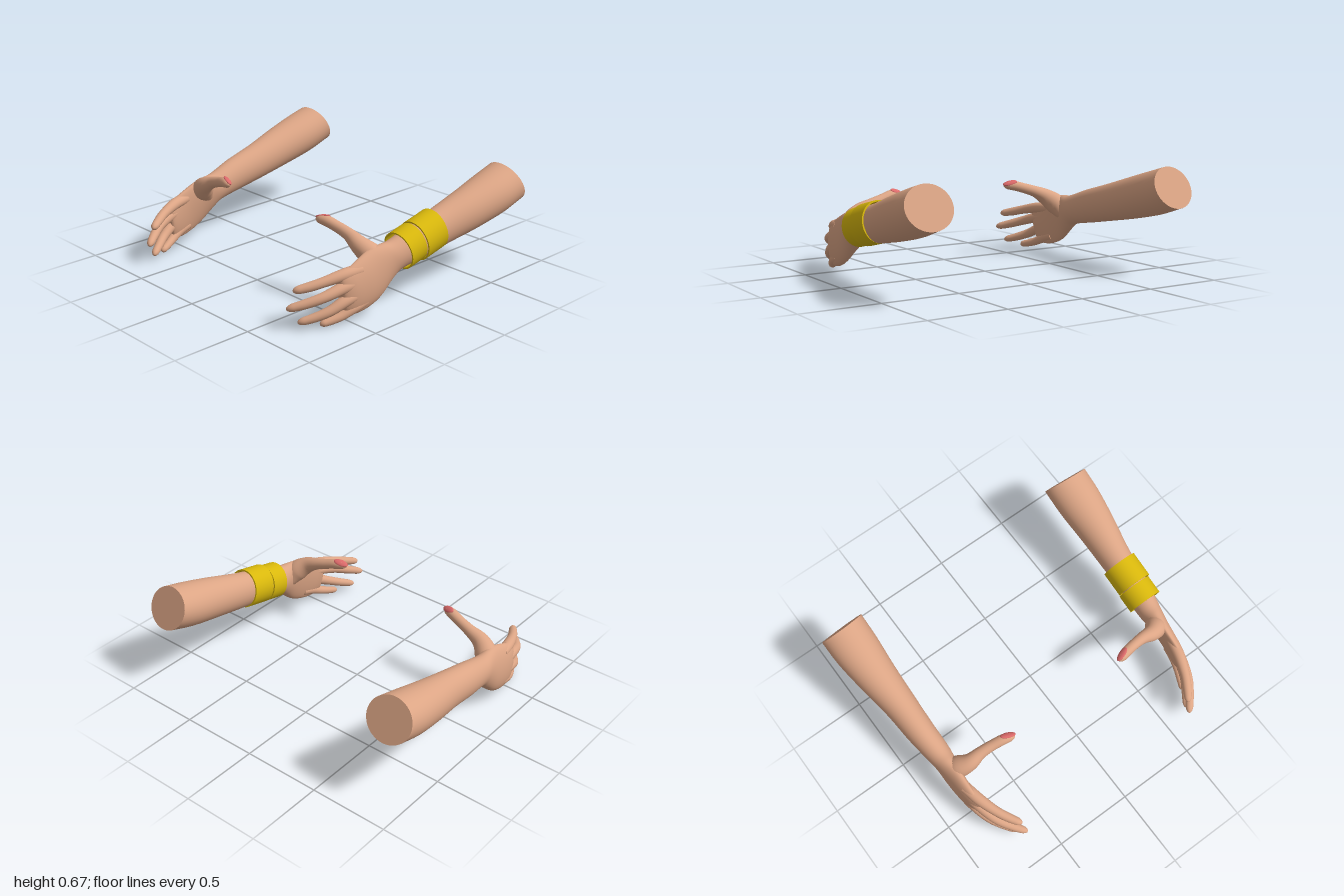
import * as THREE from 'three';
import { toCreasedNormals } from 'three/addons/utils/BufferGeometryUtils.js';

const skin = new THREE.MeshStandardMaterial({ color: 0xdca585 });
const gold = new THREE.MeshStandardMaterial({ color: 0xd9b80c });
const polish = new THREE.MeshStandardMaterial({ color: 0xdc6a6a });
const V = (x, y, z) => new THREE.Vector3(x, y, z);

// Skin a list of rings; side -1 mirrors the result across x = 0
function loft(rings, side) {
  const n = rings[0].length, pos = [], idx = [];
  const tri = (a, b, c) => (side > 0 ? idx.push(a, b, c) : idx.push(a, c, b));
  const put = (p) => pos.push(p.x * side, p.y, p.z);
  rings.forEach((ring) => ring.forEach(put));
  for (let i = 0; i < rings.length - 1; i++) {
    for (let j = 0; j < n; j++) {
      const a = i * n + j, b = i * n + (j + 1) % n;
      tri(a, b, b + n);
      tri(a, b + n, a + n);
    }
  }
  // flat caps with their own vertices
  for (const [ring, start] of [[rings[0], true], [rings[rings.length - 1], false]]) {
    const base = pos.length / 3, mid = V(0, 0, 0);
    ring.forEach((p) => { put(p); mid.addScaledVector(p, 1 / n); });
    put(mid);
    for (let j = 0; j < n; j++) {
      const a = base + j, b = base + (j + 1) % n;
      if (start) tri(base + n, b, a); else tri(base + n, a, b);
    }
  }
  const g = new THREE.BufferGeometry();
  g.setAttribute('position', new THREE.Float32BufferAttribute(pos, 3));
  g.setIndex(idx);
  g.computeVertexNormals();
  return g;
}

const spline = (pts) => new THREE.CatmullRomCurve3(pts, false, 'catmullrom', 0.5);

// Forearm and palm: [top xyz, bottom xyz, half width, palm flattening]
const ARM = [
  [0.87, 0.675, -0.72, 0.84, 0.43, -0.835, 0.147, 1],
  [0.86, 0.635, -0.57, 0.845, 0.372, -0.66, 0.143, 1],
  [0.845, 0.58, -0.38, 0.845, 0.325, -0.45, 0.123, 1],
  [0.83, 0.52, -0.18, 0.83, 0.285, -0.23, 0.101, 1],
  [0.82, 0.465, 0.02, 0.825, 0.25, -0.03, 0.088, 1],
  [0.805, 0.412, 0.18, 0.815, 0.222, 0.13, 0.075, 1],
  [0.795, 0.405, 0.26, 0.815, 0.175, 0.20, 0.066, 0.9],
  [0.785, 0.395, 0.34, 0.82, 0.10, 0.29, 0.06, 0.65],
  [0.785, 0.36, 0.43, 0.815, 0.06, 0.38, 0.055, 0.55],
  [0.785, 0.325, 0.51, 0.805, 0.045, 0.47, 0.046, 0.7],
  [0.775, 0.31, 0.56, 0.795, 0.06, 0.53, 0.032, 0.9],
  [0.765, 0.27, 0.577, 0.785, 0.10, 0.55, 0.012, 1],
];

function armGeometry(side) {
  const top = spline(ARM.map((s) => V(s[0], s[1], s[2])));
  const bottom = spline(ARM.map((s) => V(s[3], s[4], s[5])));
  const width = spline(ARM.map((s) => V(s[6], s[7], 0)));
  const rings = [], steps = 66, n = 40;
  for (let i = 0; i <= steps; i++) {
    const t = i / steps, a = top.getPoint(t), b = bottom.getPoint(t), w = width.getPoint(t);
    const mid = a.clone().add(b).multiplyScalar(0.5), up = a.sub(b).multiplyScalar(0.5);
    // across the hand, square to its up direction
    const across = V(up.y, -up.x, 0).normalize();
    const ring = [];
    for (let j = 0; j < n; j++) {
      const q = (j / n) * Math.PI * 2, c = Math.cos(q);
      ring.push(mid.clone().addScaledVector(up, Math.sin(q))
        .addScaledVector(across, c * w.x * (c < 0 ? w.y : 1)));
    }
    rings.push(ring);
  }
  return loft(rings, side);
}

// Digits: points along the bone as [x, y, z, radius], last point is the tip
const DIGITS = {
  thumb: [[0.80, 0.27, 0.24, 0.045], [0.765, 0.34, 0.30, 0.068], [0.70, 0.393, 0.333, 0.054],
    [0.62, 0.432, 0.335, 0.038], [0.54, 0.458, 0.345, 0.033], [0.46, 0.48, 0.362, 0.032],
    [0.395, 0.483, 0.382, 0.024]],
  indexFinger: [[0.80, 0.30, 0.42, 0.036], [0.775, 0.29, 0.53, 0.036], [0.735, 0.268, 0.64, 0.03],
    [0.695, 0.248, 0.715, 0.028], [0.645, 0.23, 0.793, 0.022]],
  middleFinger: [[0.81, 0.24, 0.42, 0.036], [0.79, 0.222, 0.54, 0.036], [0.755, 0.188, 0.66, 0.031],
    [0.70, 0.157, 0.75, 0.028], [0.635, 0.13, 0.835, 0.022]],
  ringFinger: [[0.815, 0.17, 0.42, 0.035], [0.80, 0.145, 0.53, 0.035], [0.77, 0.1, 0.625, 0.03],
    [0.725, 0.068, 0.70, 0.027], [0.668, 0.042, 0.78, 0.021]],
  littleFinger: [[0.815, 0.11, 0.40, 0.034], [0.805, 0.085, 0.48, 0.033], [0.785, 0.053, 0.55, 0.028],
    [0.762, 0.034, 0.605, 0.025], [0.733, 0.018, 0.67, 0.02]],
};

function digitGeometry(points, side) {
  const path = spline(points.map((p) => V(p[0], p[1], p[2])));
  const radius = spline(points.map((p) => V(p[3], 0, 0)));
  const rings = [], steps = 40, n = 20, round = 0.9;
  for (let i = 0; i <= steps; i++) {
    // steps crowd toward the rounded tip
    const t = Math.sin((i / steps) * Math.PI / 2);
    const k = Math.max(0, (t - round) / (1 - round));
    const r = radius.getPoint(t).x * Math.sqrt(Math.max(0.0004, 1 - k * k));
    const c = path.getPoint(t), dir = path.getTangent(t);
    const right = V(0, 1, 0).cross(dir).normalize(), up = dir.clone().cross(right);
    const ring = [];
    for (let j = 0; j < n; j++) {
      const q = (j / n) * Math.PI * 2;
      ring.push(c.clone().addScaledVector(right, Math.cos(q) * r).addScaledVector(up, Math.sin(q) * r));
    }
    rings.push(ring);
  }
  return loft(rings, side);
}

// Thumb nail: a thin painted oval on the upper back of the tip
function nailGeometry(side) {
  const along = V(0.05 * side, 0.012, -0.018).normalize();
  const out = V(0, 0.85, -0.5);
  out.addScaledVector(along, -out.dot(along)).normalize();
  const basis = new THREE.Matrix4().makeBasis(along, out, along.clone().cross(out));
  return new THREE.SphereGeometry(1, 24, 16).scale(0.049, 0.011, 0.023)
    .applyMatrix4(basis).translate(0.432 * side, 0.499, 0.361);
}

// Bracelet: a thick oval band
function braceletGeometry(length, rx, ry) {
  const h = length / 2, wall = 0.92;
  const profile = [[1, -h], [1, h], [wall, h], [wall, -h], [1, -h]].map((p) => new THREE.Vector2(...p));
  return toCreasedNormals(new THREE.LatheGeometry(profile, 48).scale(rx, 1, ry), 0.6);
}

export function createModel() {
  const model = new THREE.Group();
  const add = (parent, name, geometry, material) => {
    const mesh = new THREE.Mesh(geometry, material);
    mesh.name = name;
    parent.add(mesh);
    return mesh;
  };

  for (const [name, side] of [['leftArm', 1], ['rightArm', -1]]) {
    const arm = new THREE.Group();
    arm.name = name;
    add(arm, 'forearmAndPalm', armGeometry(side), skin);
    for (const digit in DIGITS) add(arm, digit, digitGeometry(DIGITS[digit], side), skin);
    add(arm, 'thumbNail', nailGeometry(side), polish);
    model.add(arm);
  }

  // two bands on the left wrist
  const bands = [
    ['frontBracelet', 0.122, 0.111, 0.119, [0.815, 0.346, 0.069]],
    ['rearBracelet', 0.166, 0.114, 0.127, [0.823, 0.381, -0.076]],
  ];
  for (const [name, length, rx, ry, at] of bands) {
    const band = add(model, name, braceletGeometry(length, rx, ry), gold);
    band.position.set(...at);
    band.rotation.x = 1.8;
  }
  return model;
}
